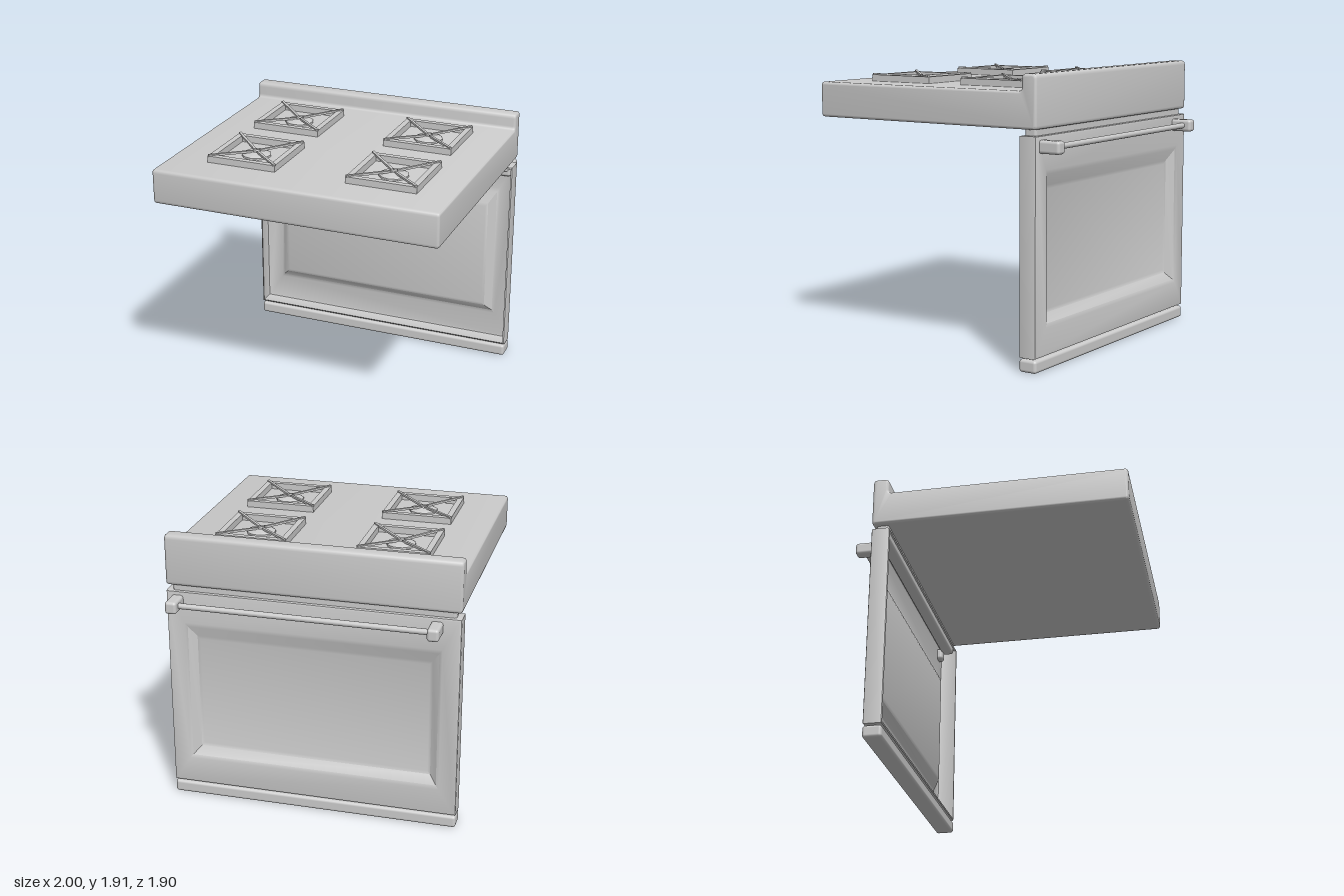
import * as THREE from 'three';
import { toCreasedNormals } from 'three/addons/utils/BufferGeometryUtils.js';
import { RoundedBoxGeometry } from 'three/addons/geometries/RoundedBoxGeometry.js';

const grey = new THREE.MeshStandardMaterial({ color: 0xcccccc });
const greyOpen = new THREE.MeshStandardMaterial({ color: 0xcccccc, side: THREE.DoubleSide });
const greyFlat = new THREE.MeshStandardMaterial({ color: 0xcccccc, flatShading: true });

function add(parent, name, geometry, material = grey) {
  const mesh = new THREE.Mesh(geometry, material);
  mesh.name = name;
  parent.add(mesh);
  return mesh;
}

// Rounded box given by its limits on each axis
function roundedBox(parent, name, [x0, x1], [y0, y1], [z0, z1], r) {
  const geo = new RoundedBoxGeometry(x1 - x0, y1 - y0, z1 - z0, 3, r);
  geo.translate((x0 + x1) / 2, (y0 + y1) / 2, (z0 + z1) / 2);
  return add(parent, name, geo);
}

// Closed outline with every corner rounded by its own radius: [x, y, r]
function roundedOutline(points) {
  const shape = new THREE.Shape();
  points.forEach(([x, y, r], i) => {
    const corner = new THREE.Vector2(x, y);
    const toward = (p) => new THREE.Vector2(p[0], p[1]).sub(corner).setLength(r).add(corner);
    const a = toward(points.at(i - 1));
    const b = toward(points[(i + 1) % points.length]);
    if (i === 0) shape.moveTo(a.x, a.y);
    else shape.lineTo(a.x, a.y);
    shape.quadraticCurveTo(x, y, b.x, b.y);
  });
  shape.closePath();
  return shape;
}

// Slab and raised rear guard share one side profile, swept across the width
function cooktopGeometry() {
  const bevel = 0.018;
  const profile = roundedOutline([
    [-0.95, 1.56, 0.025], [0.81, 1.56, 0.025], [0.81, 1.91, 0.03],
    [0.70, 1.91, 0.03], [0.70, 1.80, 0.025], [-0.95, 1.80, 0.025],
  ]);
  const geo = new THREE.ExtrudeGeometry(profile, {
    depth: 2 - 2 * bevel, curveSegments: 4, bevelEnabled: true,
    bevelSize: bevel, bevelThickness: bevel, bevelOffset: -bevel, bevelSegments: 3,
  });
  geo.translate(0, 0, -1 + bevel);
  geo.rotateY(Math.PI / 2);
  return toCreasedNormals(geo, 0.7);
}

// Pressed door skin, open on the inner side: rings of [half width, bottom, top, z]
function doorGeometry() {
  const rings = [
    [0.988, 0.107, 1.508, -0.68], [0.997, 0.098, 1.517, -0.685], [1, 0.095, 1.52, -0.695],
    [1, 0.095, 1.52, -0.795], [0.997, 0.098, 1.517, -0.805], [0.985, 0.11, 1.505, -0.81],
    [0.88, 0.28, 1.30, -0.81], [0.86, 0.305, 1.27, -0.803],
    [0.81, 0.36, 1.19, -0.757], [0.79, 0.38, 1.165, -0.75],
  ];
  const positions = [];
  const index = [];
  rings.forEach(([x, y0, y1, z], i) => {
    positions.push(-x, y0, z, x, y0, z, x, y1, z, -x, y1, z);
    if (i === rings.length - 1) return;
    for (let k = 0; k < 4; k++) {
      const a = i * 4 + k;
      const b = i * 4 + ((k + 1) % 4);
      index.push(a, a + 4, b, b, a + 4, b + 4);
    }
  });
  const c = (rings.length - 1) * 4;
  index.push(c, c + 2, c + 1, c, c + 3, c + 2);
  const geo = new THREE.BufferGeometry();
  geo.setAttribute('position', new THREE.Float32BufferAttribute(positions, 3));
  geo.setIndex(index);
  return toCreasedNormals(geo, 0.65);
}

// Square grate with diagonal bars over a faceted burner
function createBurner() {
  const group = new THREE.Group();
  group.name = 'burner';
  const half = 0.245;
  const inner = 0.205;
  const square = (s) => [[-s, -s], [s, -s], [s, s], [-s, s]].map(([x, y]) => new THREE.Vector2(x, y));
  const frame = new THREE.Shape(square(half));
  frame.holes.push(new THREE.Path(square(inner).reverse()));
  const frameGeo = new THREE.ExtrudeGeometry(frame, { depth: 0.05, bevelEnabled: false });
  frameGeo.rotateX(-Math.PI / 2);
  frameGeo.translate(0, -0.005, 0);
  add(group, 'grateFrame', frameGeo);

  // Bars dip slightly from the corners towards the centre
  const length = 0.315;
  for (let k = 0; k < 4; k++) {
    const barGeo = new THREE.BoxGeometry(length, 0.014, 0.018);
    barGeo.rotateZ(0.05);
    barGeo.translate(0.025 + length / 2, 0.04, 0);
    barGeo.rotateY(Math.PI / 4 + (k * Math.PI) / 2);
    add(group, 'grateBar', barGeo);
  }

  const cap = [[0.1, -0.005], [0.1, 0.012], [0.085, 0.02], [0.035, 0.03], [0.028, 0.03], [0.022, 0.022], [0, 0.022]];
  add(group, 'burnerCap', new THREE.LatheGeometry(cap.map(([r, y]) => new THREE.Vector2(r, y)), 11), greyFlat);
  return group;
}

export function createModel() {
  const model = new THREE.Group();
  model.name = 'stove';

  add(model, 'cooktop', cooktopGeometry());
  for (const [x, z] of [[-0.48, -0.285], [0.495, -0.29], [-0.475, 0.443], [0.515, 0.447]]) {
    const burner = createBurner();
    burner.position.set(x, 1.80, z);
    model.add(burner);
  }

  // Oven front hanging below the rear edge
  roundedBox(model, 'neckStrip', [-0.96, 0.96], [1.47, 1.58], [-0.785, -0.70], 0.018);
  add(model, 'ovenDoor', doorGeometry(), greyOpen);
  roundedBox(model, 'kickPanel', [-1, 1], [0, 0.085], [-0.81, -0.68], 0.02);

  // Door handle: two brackets and a bar
  const handle = new THREE.Group();
  handle.name = 'doorHandle';
  for (const x of [-0.84, 0.92]) {
    roundedBox(handle, 'handleBracket', [x - 0.04, x + 0.04], [1.41, 1.495], [-0.955, -0.77], 0.02);
  }
  const bar = new THREE.CylinderGeometry(0.02, 0.02, 1.76, 12);
  bar.rotateZ(Math.PI / 2);
  bar.translate(0.04, 1.453, -0.893);
  add(handle, 'handleBar', bar);
  model.add(handle);

  return model;
}
